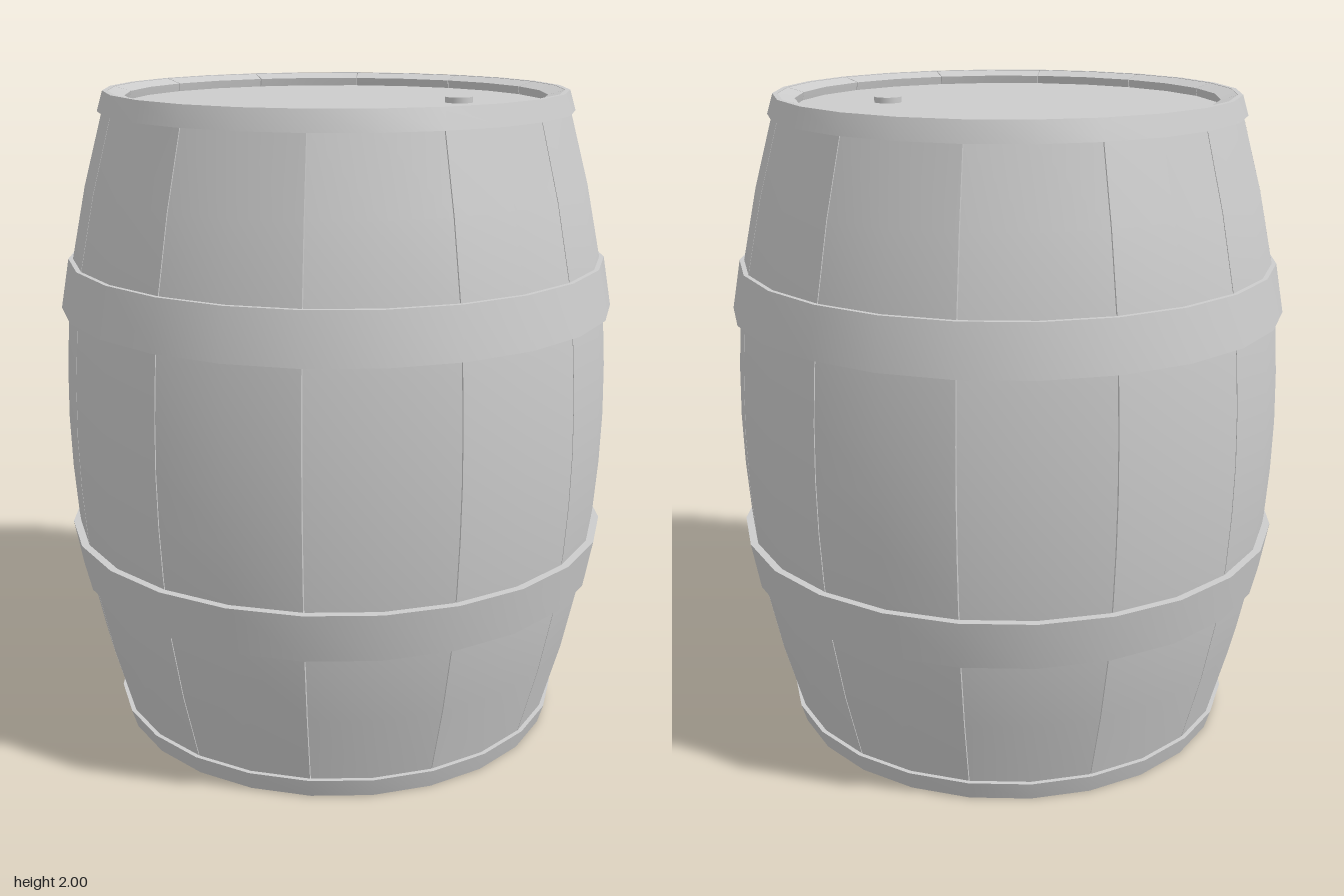
import * as THREE from 'three';
import { mergeGeometries, toCreasedNormals } from 'three/addons/utils/BufferGeometryUtils.js';

const STAVES = 12;
const SIDES = 24;
const GAP = 0.004; // seam between neighbouring staves, in radians
const CREASE = 0.5;

const grey = new THREE.MeshStandardMaterial({ color: 0xcccccc });
const greyDouble = new THREE.MeshStandardMaterial({ color: 0xcccccc, side: THREE.DoubleSide });

// Outer bulge as [radius, height], bottom to top; mirrored about y = 1
const lowerHalf = [[0.69, 0], [0.704, 0.06], [0.764, 0.28], [0.81, 0.5], [0.831, 0.68], [0.842, 0.84]];
const outer = [
  ...lowerHalf,
  [0.846, 1],
  ...lowerHalf.map(([r, y]) => [r, 2 - y]).reverse(),
];

const toPoints = (list) => list.map(([r, y]) => new THREE.Vector2(r, y));

// Revolve a closed, counter-clockwise cross-section
function revolve(profile, segments, start = 0, length = Math.PI * 2) {
  const points = toPoints([...profile, profile[0]]);
  return toCreasedNormals(new THREE.LatheGeometry(points, segments, start, length), CREASE);
}

// One curved plank with its two side faces
function staveGeometry() {
  const inner = outer.slice(1, -1).reverse().map(([r, y]) => [r - 0.06, y]);
  const profile = [...outer, [0.635, 1.985], ...inner, [0.635, 0.015]];
  const start = GAP / 2;
  const length = (Math.PI * 2) / STAVES - GAP;
  const parts = [revolve(profile, SIDES / STAVES, start, length)];
  for (const angle of [start, start + length]) {
    const cap = new THREE.ShapeGeometry(new THREE.Shape(toPoints(profile)));
    cap.rotateY(angle - Math.PI / 2);
    parts.push(cap.toNonIndexed());
  }
  return mergeGeometries(parts);
}

export function createModel() {
  const barrel = new THREE.Group();
  barrel.name = 'barrel';

  const add = (parent, name, geometry, material = grey) => {
    const mesh = new THREE.Mesh(geometry, material);
    mesh.name = name;
    parent.add(mesh);
    return mesh;
  };

  // Staves
  const staves = new THREE.Group();
  staves.name = 'staves';
  barrel.add(staves);
  const plank = staveGeometry();
  for (let i = 0; i < STAVES; i++) {
    add(staves, `stave${i + 1}`, plank, greyDouble).rotation.y = (i * Math.PI * 2) / STAVES;
  }

  // Hoops: cross-sections for the upper half, mirrored to the lower half
  const hoops = {
    BellyHoop: [[0.815, 1.35], [0.851, 1.35], [0.824, 1.5], [0.79, 1.5]],
    RimHoop: [[0.69, 1.94], [0.718, 1.94], [0.7, 2], [0.685, 2]],
  };
  for (const [name, section] of Object.entries(hoops)) {
    add(barrel, `upper${name}`, revolve(section, SIDES));
    const flipped = section.map(([r, y]) => [r, 2 - y]).reverse();
    add(barrel, `lower${name}`, revolve(flipped, SIDES));
  }

  // Recessed heads
  for (const [name, y] of [['topHead', 1.945], ['bottomHead', 0.055]]) {
    add(barrel, name, new THREE.CylinderGeometry(0.645, 0.645, 0.03, SIDES)).position.y = y;
  }

  // Bung in the top head
  add(barrel, 'bung', new THREE.CylinderGeometry(0.042, 0.042, 0.03, 16)).position.set(0.37, 1.962, 0);

  return barrel;
}
